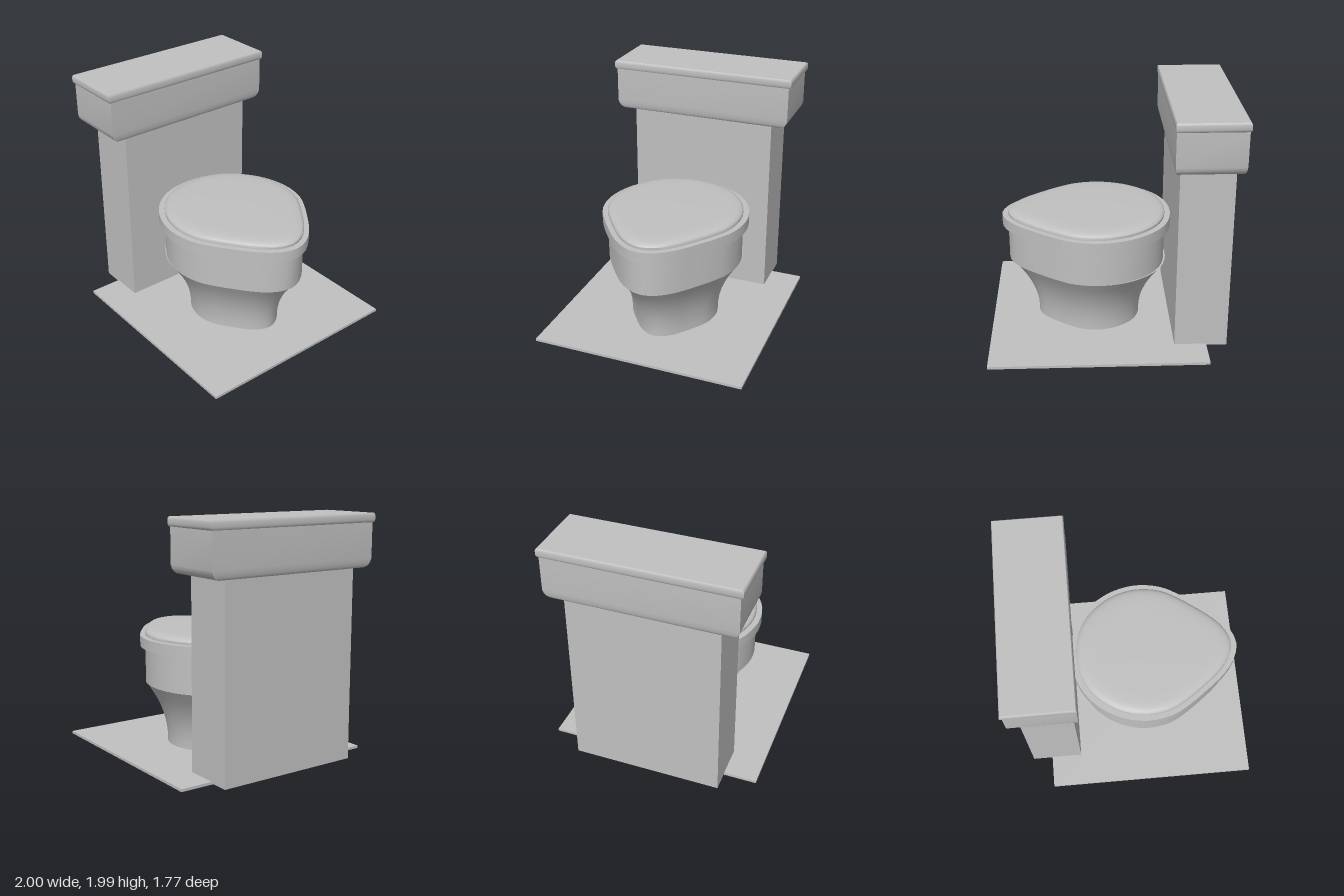
import * as THREE from 'three';
import { toCreasedNormals } from 'three/addons/utils/BufferGeometryUtils.js';

const ceramic = new THREE.MeshStandardMaterial({ color: 0xc0c0c0 });
ceramic.name = 'grey ceramic';

// Half outline of the egg-shaped bowl, from the tip to the back, as [x, z]
const EGG_HALF = [
  [0.845, 0], [0.81, 0.12], [0.72, 0.235], [0.56, 0.365], [0.44, 0.45], [0.3, 0.527],
  [0.1, 0.56], [-0.1, 0.52], [-0.25, 0.435], [-0.36, 0.325], [-0.43, 0.19], [-0.46, 0],
];
const EGG_CENTRE = 0.19;

// Full egg outline relative to its centre
function eggOutline(count) {
  const mirrored = EGG_HALF.slice(1, -1).reverse().map(([x, z]) => [x, -z]);
  const points = [...EGG_HALF, ...mirrored].map(([x, z]) => new THREE.Vector3(x - EGG_CENTRE, 0, z));
  const curve = new THREE.CatmullRomCurve3(points, true);
  return curve.getSpacedPoints(count).slice(0, count).map((p) => [p.x, p.z]);
}

const EGG = eggOutline(56);
const SQUARE = [[1, -1], [1, 1], [-1, 1], [-1, -1]];

// Closed solid: stacks scaled copies of an outline; levels are [y, scaleX, scaleZ]
function loft(outline, levels, cx, crease = 0.6) {
  const n = outline.length;
  const positions = [];
  const index = [];
  for (const [y, sx, sz] of levels) {
    for (const [x, z] of outline) positions.push(cx + x * sx, y, z * sz);
  }
  const bottom = levels.length * n;
  const top = bottom + 1;
  positions.push(cx, levels[0][0], 0, cx, levels[levels.length - 1][0], 0);
  const last = (levels.length - 1) * n;
  for (let i = 0; i < n; i++) {
    const j = (i + 1) % n;
    for (let k = 0; k < last; k += n) {
      index.push(k + i, k + n + i, k + j, k + j, k + n + i, k + n + j);
    }
    index.push(bottom, i, j, top, last + j, last + i);
  }
  const geometry = new THREE.BufferGeometry();
  geometry.setAttribute('position', new THREE.Float32BufferAttribute(positions, 3));
  geometry.setIndex(index);
  return toCreasedNormals(geometry, crease);
}

export function createModel() {
  const model = new THREE.Group();
  model.name = 'toilet';
  const add = (name, geometry, x = 0, y = 0, z = 0) => {
    const mesh = new THREE.Mesh(geometry, ceramic);
    mesh.name = name;
    mesh.position.set(x, y, z);
    model.add(mesh);
  };

  // Floor plate and the column behind the bowl
  add('floorPlate', new THREE.BoxGeometry(1.77, 0.022, 1.77), 0.113, 0.011, 0);
  add('column', new THREE.BoxGeometry(0.43, 1.56, 1.23), -0.725, 0.79, 0);

  // Tank with a rounded underside
  add('tank', loft(SQUARE, [
    [1.562, 0.247, 0.69], [1.567, 0.252, 0.715], [1.582, 0.258, 0.737],
    [1.605, 0.263, 0.753], [1.635, 0.267, 0.76], [1.915, 0.267, 0.76],
  ], -0.724), 0, 0, 0);

  // Tank lid with a rolled edge
  add('tankLid', loft(SQUARE, [
    [1.912, 0.267, 0.768], [1.92, 0.272, 0.776], [1.933, 0.275, 0.78],
    [1.965, 0.275, 0.78], [1.978, 0.272, 0.777], [1.985, 0.267, 0.77],
  ], -0.725));

  // Flared pedestal
  const flare = [
    [0.02, 0.66], [0.07, 0.661], [0.12, 0.668], [0.2, 0.692], [0.27, 0.727],
    [0.34, 0.777], [0.41, 0.838], [0.48, 0.916], [0.55, 1],
  ];
  add('pedestal', loft(EGG, flare.map(([y, s]) => [y, s, s]), EGG_CENTRE - 0.015));

  // Bowl wall and the overhanging seat rim
  add('bowl', loft(EGG, [[0.55, 1, 1], [0.87, 1, 1]], EGG_CENTRE));
  add('seatRim', loft(EGG, [[0.862, 1.073, 1.085], [0.952, 1.073, 1.085]], EGG_CENTRE));

  // Softly domed seat lid
  const dome = [
    [0.95, 1], [0.972, 1], [0.983, 0.987], [0.992, 0.96], [0.998, 0.92], [1.003, 0.85], [1.005, 0.7],
  ];
  add('seatLid', loft(EGG, dome.map(([y, s]) => [y, s, s]), EGG_CENTRE));

  return model;
}
